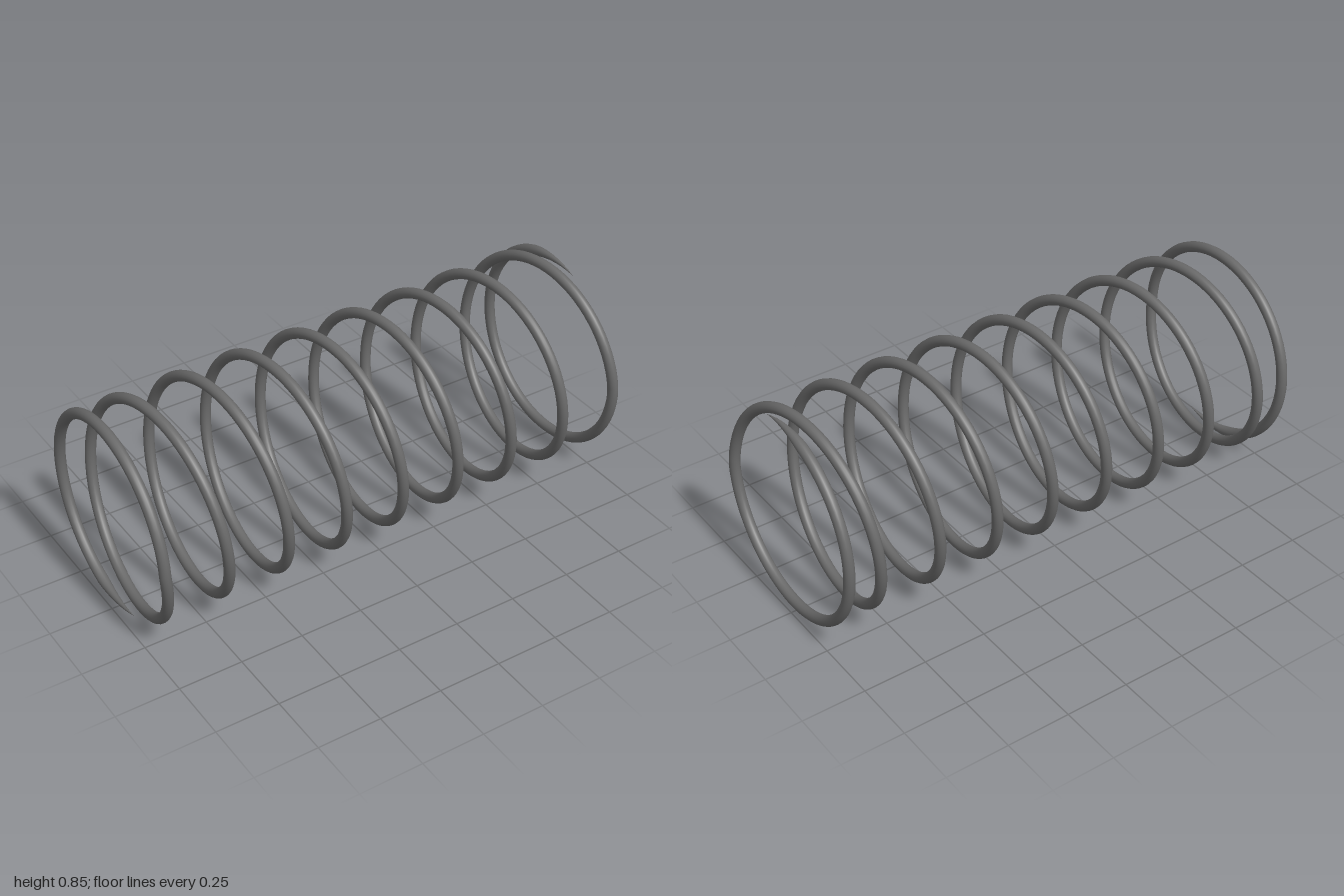
import * as THREE from 'three';

const COIL_RADIUS = 0.391;
const WIRE_RADIUS = 0.021;
const HALF_LENGTH = 0.975;              // centre of the closed end coils
const ACTIVE_TURNS = 8;
const END_TURNS = 287 / 360;            // flat closed coil at each end
const TURNS = ACTIVE_TURNS + 2 * END_TURNS;
const TAPER_TURNS = 34 / 360;           // length of the pointed wire tips

// Centre line: an even helix with a flat coil at either end
class SpringCurve extends THREE.Curve {
  getPoint(t, target = new THREE.Vector3()) {
    const turn = t * TURNS - END_TURNS;
    const angle = Math.PI / 2 + turn * Math.PI * 2;
    const along = THREE.MathUtils.clamp(turn / ACTIVE_TURNS, 0, 1);
    return target.set(
      (along * 2 - 1) * HALF_LENGTH,
      Math.cos(angle) * COIL_RADIUS,
      Math.sin(angle) * COIL_RADIUS
    );
  }
}

function springGeometry() {
  const curve = new SpringCurve();
  curve.arcLengthDivisions = 2000;
  const rings = 680;
  const sides = 16;
  const geometry = new THREE.TubeGeometry(curve, rings, WIRE_RADIUS, sides, false);

  // Shrink the cross-sections near both ends so the wire runs out to a point
  const position = geometry.attributes.position;
  const vertex = new THREE.Vector3();
  for (let i = 0; i <= rings; i++) {
    const turnsFromEnd = Math.min(i, rings - i) / rings * TURNS;
    const scale = Math.min(1, turnsFromEnd / TAPER_TURNS);
    if (scale === 1) continue;
    const centre = curve.getPointAt(i / rings);
    for (let j = 0; j <= sides; j++) {
      const index = i * (sides + 1) + j;
      vertex.fromBufferAttribute(position, index).sub(centre).multiplyScalar(scale).add(centre);
      position.setXYZ(index, vertex.x, vertex.y, vertex.z);
    }
  }
  return geometry;
}

export function createModel() {
  const steel = new THREE.MeshStandardMaterial({ color: 0x696969 });
  steel.name = 'dark steel';

  const coil = new THREE.Mesh(springGeometry(), steel);
  coil.name = 'springCoil';
  // The spring lies very slightly tilted
  coil.rotation.set(0, 0.005, 0.012);
  coil.position.y = 0.423;

  const group = new THREE.Group();
  group.name = 'compressionSpring';
  group.add(coil);
  return group;
}
